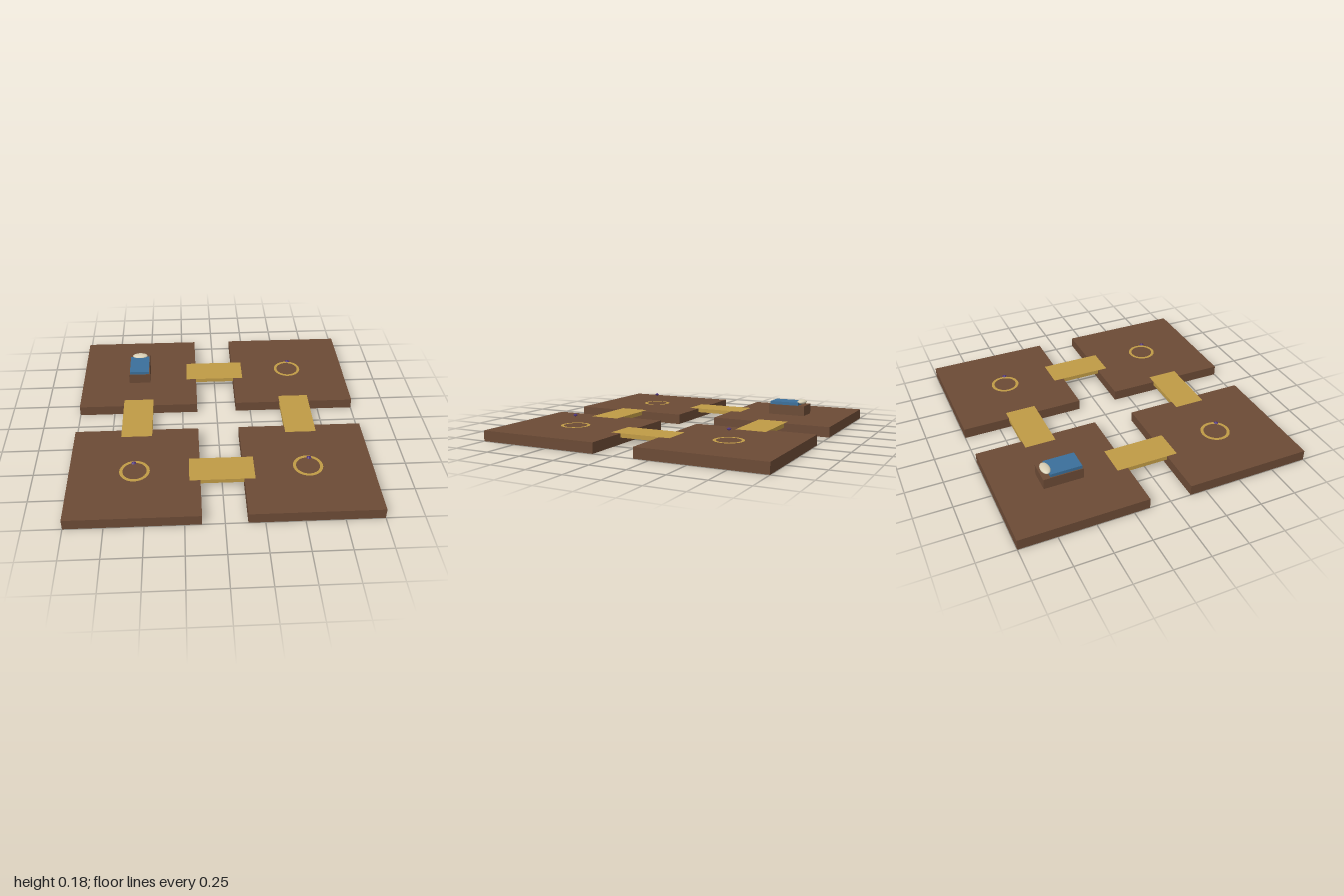
import * as THREE from 'three';

const C = 0.571;     // centre of each platform along x and z
const TOP = 0.0714;  // platform top

export function createModel() {
  const model = new THREE.Group();
  const material = (color, options = {}) => new THREE.MeshStandardMaterial({ color, ...options });
  const wood = material(0x6b4a35);
  const gold = material(0xbf9a45);
  const goldFlat = material(0xbf9a45, { side: THREE.DoubleSide });
  const blue = material(0x3a6f9a);
  const linen = material(0xd8cfb5);
  const purple = material(0x4a2f7a, { flatShading: true });

  const add = (name, geometry, mat, x, y, z, parent = model) => {
    const mesh = new THREE.Mesh(geometry, mat);
    mesh.name = name;
    mesh.position.set(x, y, z);
    parent.add(mesh);
    return mesh;
  };

  // Four square platforms; all but the bed platform carry a ring and a floating gem
  const slab = new THREE.BoxGeometry(0.857, TOP, 0.857);
  const ring = new THREE.RingGeometry(0.079, 0.1, 32).rotateX(-Math.PI / 2);
  const gem = new THREE.SphereGeometry(0.016, 8, 2).scale(1, 0.7, 1);
  for (const sx of [-1, 1]) {
    for (const sz of [-1, 1]) {
      add('platform', slab, wood, sx * C, TOP / 2, sz * C);
      if (sx < 0 && sz < 0) continue;
      add('floorRing', ring, goldFlat, sx * C, TOP + 0.0015, sz * C);
      add('gem', gem, purple, sx * C, 0.143, sz * C);
    }
  }

  // Bridges joining neighbouring platforms, just proud of their tops
  const bridgeY = TOP - 0.0286 / 2 + 0.0006;
  for (const s of [-1, 1]) {
    add('bridgeAcross', new THREE.BoxGeometry(0.4286, 0.0286, 0.214), gold, 0, bridgeY, s * C);
    add('bridgeAlong', new THREE.BoxGeometry(0.214, 0.0286, 0.4286), gold, s * C, bridgeY, 0);
  }

  // Bed with blanket and pillow
  const bed = new THREE.Group();
  bed.name = 'bed';
  bed.position.set(-C, TOP, -C);
  model.add(bed);
  add('bedFrame', new THREE.BoxGeometry(0.157, 0.0725, 0.271), wood, 0, 0.03625, 0, bed);
  add('blanket', new THREE.BoxGeometry(0.143, 0.022, 0.214), blue, 0, 0.0835, 0.0215, bed);
  const pillow = new THREE.SphereGeometry(1, 24, 16).scale(0.057, 0.0155, 0.032);
  add('pillow', pillow, linen, 0, 0.0945, -0.095, bed);

  return model;
}
